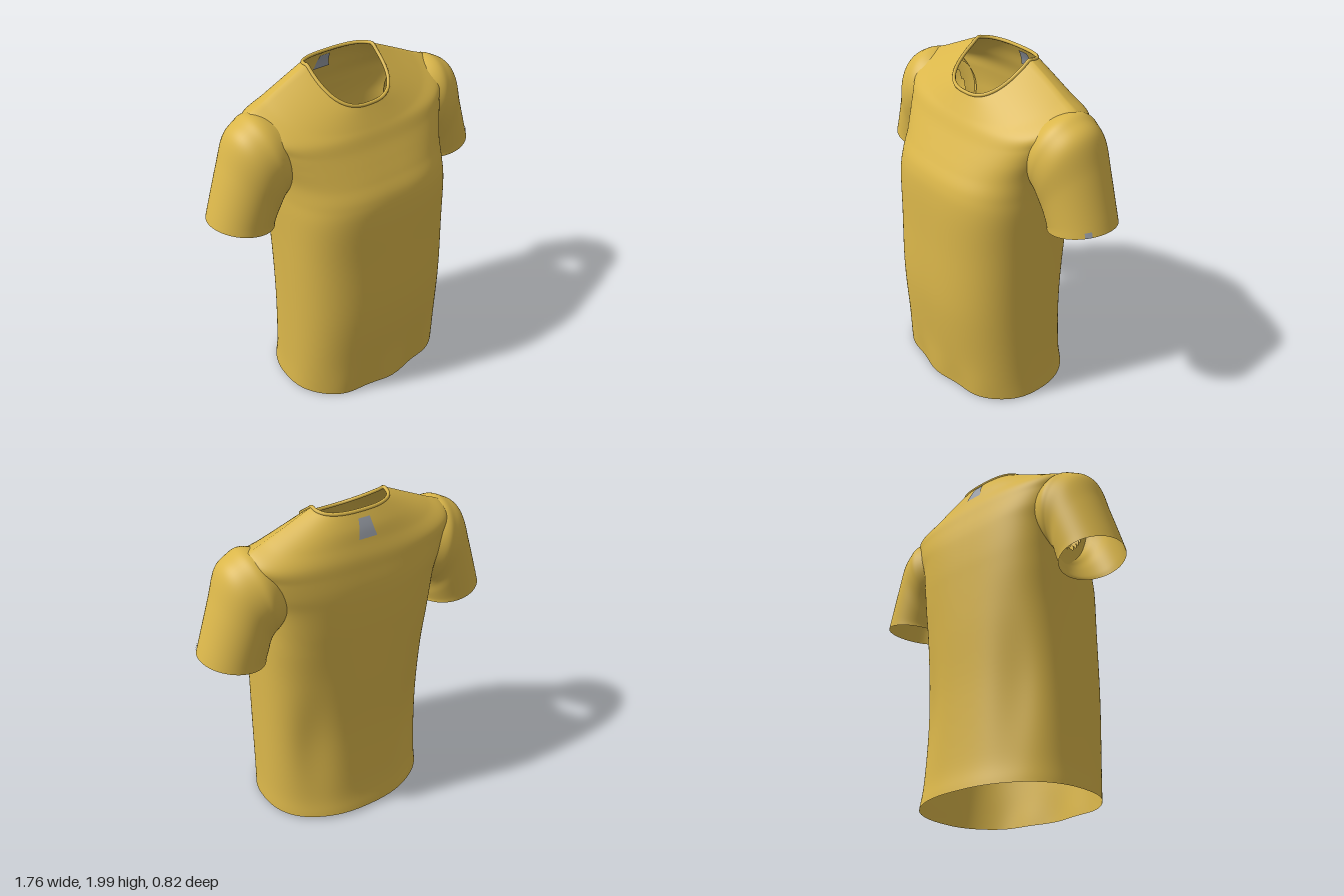
import * as THREE from 'three';
import { mergeVertices } from 'three/addons/utils/BufferGeometryUtils.js';

const cloth = new THREE.MeshStandardMaterial({ color: 0xdab64a, side: THREE.DoubleSide });
cloth.name = 'mustard cloth';
const grey = new THREE.MeshStandardMaterial({ color: 0x9a9fa8, side: THREE.DoubleSide });
grey.name = 'grey label';

// Smooth curve through a list of triples, read by fractional row number
const rowCurve = (rows) => {
  const curve = new THREE.CatmullRomCurve3(rows.map((r) => new THREE.Vector3(...r)), false, 'catmullrom', 0.5);
  return (v) => curve.getPoint(v / (rows.length - 1));
};

// Torso rings from hem to neckline
// front: squareness, y, z
const front = rowCurve([
  [2.4, 0.01, 0.365], [2.5, 0.2, 0.38], [2.6, 0.6, 0.41], [2.7, 1.0, 0.4], [2.9, 1.25, 0.39], [2.9, 1.37, 0.37],
  [2.9, 1.46, 0.325], [2.9, 1.54, 0.28], [2.8, 1.61, 0.24], [2.6, 1.67, 0.21], [2.4, 1.71, 0.187], [2.4, 1.76, 0.158],
  [2.6, 1.795, 0.138], [2.7, 1.81, 0.13]]);
// side: x, y, z
const side = rowCurve([
  [0.525, 0.02, 0], [0.515, 0.2, 0], [0.505, 0.6, 0], [0.5, 1.0, 0], [0.5, 1.25, -0.03], [0.5, 1.38, -0.06],
  [0.51, 1.5, -0.08], [0.54, 1.63, -0.1], [0.57, 1.74, -0.11], [0.59, 1.815, -0.12], [0.48, 1.87, -0.125], [0.35, 1.93, -0.13],
  [0.24, 1.98, -0.13], [0.215, 1.988, -0.13]]);
// back: squareness, y, z
const back = rowCurve([
  [2.3, 0.03, -0.41], [2.3, 0.2, -0.385], [2.4, 0.6, -0.37], [2.6, 1.0, -0.38], [2.9, 1.25, -0.385], [3, 1.38, -0.387],
  [3.1, 1.52, -0.383], [3.1, 1.6, -0.375], [3, 1.68, -0.36], [2.8, 1.75, -0.345], [2.5, 1.82, -0.32], [2.4, 1.89, -0.295],
  [2.5, 1.955, -0.26], [2.6, 1.968, -0.25]]);
const TOP = 13;

const torso = (t, v) => {
  const s = side(v), c = Math.cos(t), sn = Math.sin(t);
  const e = c >= 0 ? front(v) : back(v);
  const k = Math.abs(c) ** (2 / e.x);
  const p = new THREE.Vector3(
    Math.sign(sn) * Math.abs(sn) ** (2 / e.x) * s.x,
    s.y + (e.y - s.y) * k,
    s.z + (e.z - s.z) * k);
  // soft hollows down the back, ripples above the front hem
  if (c < 0) p.z += 0.035 * Math.exp(-(((Math.abs(p.x) - 0.34) / 0.11) ** 2) - (((p.y - 0.55) / 0.38) ** 2)) * k;
  else p.z += 0.01 * Math.cos(p.x * 18) * Math.exp(-((p.y / 0.18) ** 2)) * k;
  return p;
};

// Left sleeve rings from inside the armhole to the cuff
const sleeveTop = rowCurve([
  [0.46, 1.79, 0], [0.57, 1.828, 0], [0.64, 1.808, 0], [0.72, 1.745, 0], [0.78, 1.58, 0], [0.85, 1.37, 0], [0.88, 1.275, 0]]);
const sleeveBottom = rowCurve([
  [0.4, 1.42, 0], [0.47, 1.36, 0], [0.49, 1.33, 0], [0.5, 1.29, 0], [0.51, 1.25, 0], [0.52, 1.215, 0], [0.52, 1.2, 0]]);
// front z, back z
const sleeveDepth = rowCurve([
  [0.1, -0.28, 0], [0.125, -0.315, 0], [0.125, -0.31, 0], [0.118, -0.3, 0], [0.1, -0.295, 0], [0.09, -0.29, 0], [0.09, -0.29, 0]]);

const sleeve = (t, v) => {
  const a = sleeveTop(v), b = sleeveBottom(v), d = sleeveDepth(v);
  const p = b.lerp(a, 0.5 + 0.5 * Math.cos(t));
  p.z = (d.x + d.y) / 2 + (d.x - d.y) / 2 * Math.sin(t);
  return p;
};

// Grid over part of a surface; can be lifted along its normals or have cells left out
function sheet(surface, nu, nv, [u0, u1], [v0, v1], lift = 0, omit = () => false) {
  const pts = [], index = [];
  for (let j = 0; j <= nv; j++)
    for (let i = 0; i <= nu; i++)
      pts.push(surface(u0 + (u1 - u0) * i / nu, v0 + (v1 - v0) * j / nv));
  for (let j = 0; j < nv; j++)
    for (let i = 0; i < nu; i++) {
      const a = j * (nu + 1) + i, d = a + nu + 1;
      if (!omit(pts[a])) index.push(a, a + 1, d, a + 1, d + 1, d);
    }
  let g = new THREE.BufferGeometry().setFromPoints(pts);
  g.setIndex(index);
  g = mergeVertices(g, 1e-5);
  g.computeVertexNormals();
  const p = g.attributes.position, n = g.attributes.normal;
  if (lift) for (let i = 0; i < p.count; i++)
    p.setXYZ(i, p.getX(i) + n.getX(i) * lift, p.getY(i) + n.getY(i) * lift, p.getZ(i) + n.getZ(i) * lift);
  return g;
}

export function createModel() {
  const shirt = new THREE.Group();
  shirt.name = 'shirt';
  const add = (name, geometry, material) => {
    const m = new THREE.Mesh(geometry, material);
    m.name = name;
    shirt.add(m);
    return m;
  };
  const full = [0, Math.PI * 2];

  // Body, open at hem, neck and armholes
  const inArmhole = (p) => Math.abs(p.x) > 0.47 &&
    ((p.y - 1.58) / 0.19) ** 2 + ((p.z + 0.1) / 0.15) ** 2 < 1;
  add('body', sheet(torso, 128, 104, full, [0, TOP], 0, inArmhole), cloth);

  // Sleeves
  const sleeveGeometry = sheet(sleeve, 64, 48, full, [0, 6]);
  add('leftSleeve', sleeveGeometry, cloth);
  add('rightSleeve', sleeveGeometry, cloth).scale.x = -1;

  // Rolled neckline
  const neck = Array.from({ length: 64 }, (_, i) => torso(i / 64 * Math.PI * 2, TOP));
  add('collar', new THREE.TubeGeometry(new THREE.CatmullRomCurve3(neck, true), 128, 0.01, 8, true), cloth);

  // Neck label on both faces of the back, and a small tab on the left cuff
  const w = Math.asin((0.04 / 0.33) ** 1.22);
  const labelU = [Math.PI - w, Math.PI + w], labelV = [10.3, 11.65];
  add('neckLabelOutside', sheet(torso, 8, 10, labelU, labelV, 0.005), grey);
  add('neckLabelInside', sheet(torso, 8, 10, labelU, labelV, -0.005), grey);
  add('cuffTab', sheet(sleeve, 6, 4, [0.47, 0.67], [5.6, 5.98], 0.005), grey);

  return shirt;
}
